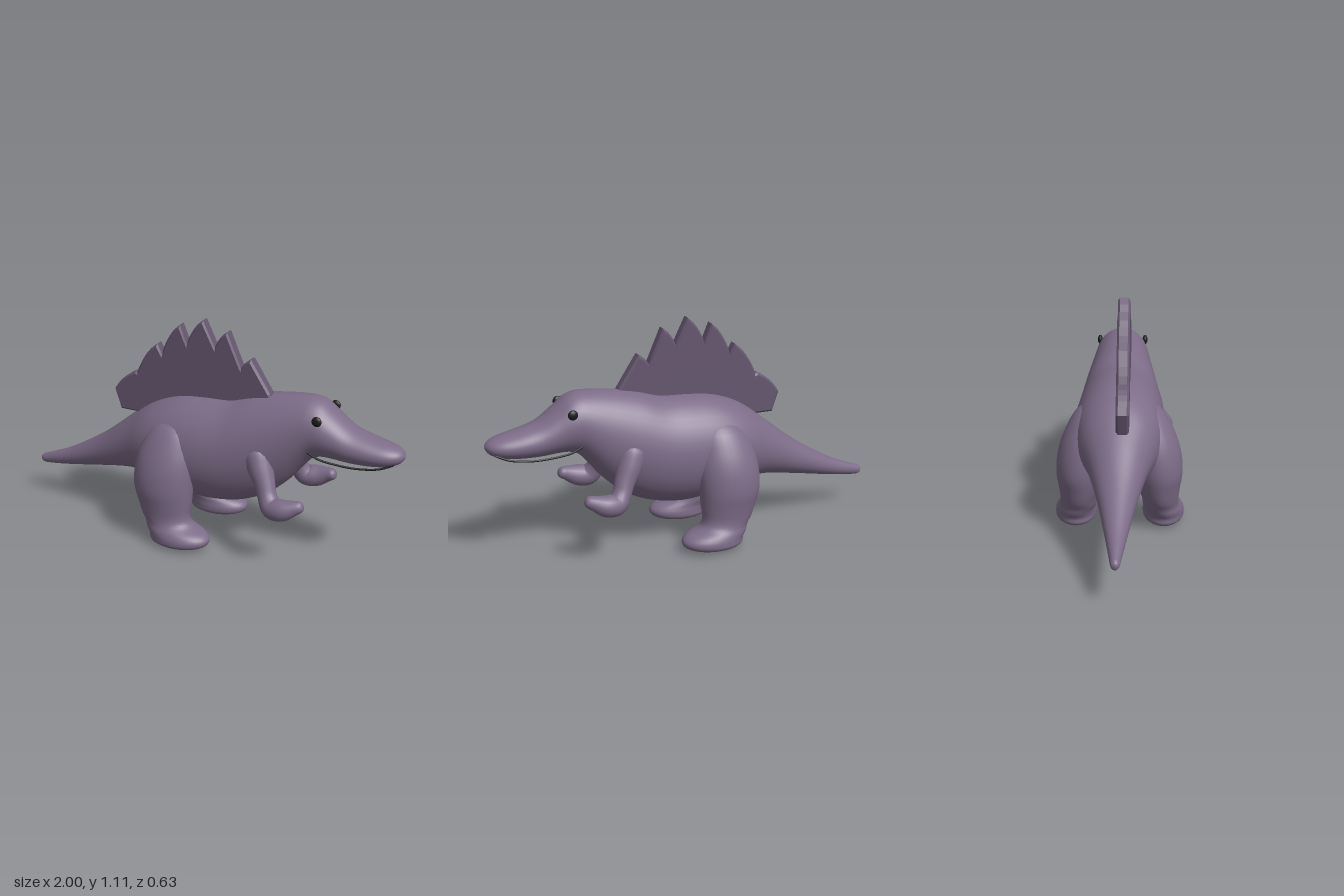
import * as THREE from 'three';

const skin = new THREE.MeshStandardMaterial({ color: 0x7d6c88 });
const sailSkin = new THREE.MeshStandardMaterial({ color: 0x65566f });
const black = new THREE.MeshStandardMaterial({ color: 0x1c1c1c });

// Resample rows of numbers with a smooth curve through every column
function smoothRows(rows, steps) {
  const out = [];
  const at = (i) => rows[Math.min(Math.max(i, 0), rows.length - 1)];
  for (let i = 0; i < rows.length - 1; i++) {
    for (let s = 0; s < steps; s++) {
      const t = s / steps;
      out.push(at(i).map((p1, k) => {
        const p0 = at(i - 1)[k], p2 = at(i + 1)[k], p3 = at(i + 2)[k];
        return p1 + 0.5 * t * (p2 - p0 + t * (2 * p0 - 5 * p1 + 4 * p2 - p3 + t * (3 * (p1 - p2) + p3 - p0)));
      }));
    }
  }
  out.push(rows[rows.length - 1]);
  return out;
}

// Skin a chain of rings { c: centre, u, v: half axes }, with u x v along the chain
function loft(rings, sides = 28) {
  const pos = [], index = [];
  rings.forEach(({ c, u, v }, i) => {
    for (let j = 0; j < sides; j++) {
      const a = (j / sides) * Math.PI * 2;
      const p = c.clone().addScaledVector(u, Math.cos(a)).addScaledVector(v, Math.sin(a));
      pos.push(p.x, p.y, p.z);
      if (i === rings.length - 1) continue;
      const k = (j + 1) % sides, n = i * sides;
      index.push(n + j, n + k, n + sides + j, n + k, n + sides + k, n + sides + j);
    }
  });
  const g = new THREE.BufferGeometry();
  g.setAttribute('position', new THREE.Float32BufferAttribute(pos, 3));
  g.setIndex(index);
  g.computeVertexNormals();
  return g;
}

const V = (x, y, z) => new THREE.Vector3(x, y, z);

// x, bottom, top, half width: tail tip to snout
const BODY = [
  [-1, 0.2, 0.2, 0], [-0.99, 0.178, 0.22, 0.018], [-0.94, 0.178, 0.24, 0.027],
  [-0.8, 0.2, 0.3, 0.05], [-0.6, 0.24, 0.42, 0.09], [-0.42, 0.272, 0.56, 0.14],
  [-0.3, 0.27, 0.652, 0.185], [-0.2, 0.245, 0.702, 0.21], [-0.1, 0.22, 0.73, 0.22],
  [0.02, 0.205, 0.742, 0.22], [0.14, 0.215, 0.75, 0.21], [0.25, 0.245, 0.782, 0.195],
  [0.35, 0.3, 0.802, 0.178], [0.44, 0.38, 0.815, 0.16], [0.51, 0.465, 0.821, 0.145],
  [0.56, 0.518, 0.82, 0.135], [0.61, 0.536, 0.803, 0.127], [0.67, 0.537, 0.755, 0.116],
  [0.75, 0.533, 0.7, 0.106], [0.85, 0.537, 0.67, 0.096], [0.93, 0.55, 0.652, 0.078],
  [0.98, 0.573, 0.632, 0.045], [1, 0.605, 0.605, 0],
];

// y, centre x, half length, centre z, half width: sole to hip
const LEG = [
  [0.005, -0.07, 0, 0.215, 0], [0.008, -0.07, 0.08, 0.215, 0.05],
  [0.03, -0.055, 0.145, 0.215, 0.095], [0.06, -0.047, 0.158, 0.215, 0.102],
  [0.09, -0.068, 0.155, 0.212, 0.096], [0.12, -0.11, 0.125, 0.202, 0.09],
  [0.16, -0.132, 0.127, 0.198, 0.09], [0.22, -0.14, 0.14, 0.192, 0.103],
  [0.3, -0.147, 0.153, 0.19, 0.115], [0.4, -0.143, 0.155, 0.177, 0.118],
  [0.5, -0.135, 0.14, 0.155, 0.106], [0.6, -0.12, 0.1, 0.12, 0.08], [0.66, -0.12, 0, 0.1, 0],
];

// x, y, z, radius: shoulder to hand
const ARM = [
  [0.31, 0.57, 0.1, 0], [0.325, 0.54, 0.12, 0.065], [0.35, 0.48, 0.148, 0.063],
  [0.385, 0.41, 0.172, 0.05], [0.408, 0.355, 0.19, 0.046], [0.44, 0.315, 0.207, 0.053],
  [0.495, 0.318, 0.217, 0.052], [0.55, 0.338, 0.21, 0.036], [0.585, 0.35, 0.2, 0.024],
  [0.594, 0.353, 0.198, 0],
];

const bodyGeometry = () => loft(smoothRows(BODY, 4).map(([x, lo, hi, w]) => ({
  c: V(x, (lo + hi) / 2, 0), u: V(0, Math.max(0, hi - lo) / 2, 0), v: V(0, 0, Math.max(0, w)),
})), 40);

const legGeometry = (side) => loft(smoothRows(LEG, 4).map(([y, cx, rx, cz, rz]) => ({
  c: V(cx, y, cz * side), u: V(0, 0, Math.max(0, rz)), v: V(Math.max(0, rx), 0, 0),
})));

function armGeometry(side) {
  const rows = smoothRows(ARM, 4);
  const points = rows.map(([x, y, z]) => V(x, y, z * side));
  return loft(rows.map(([, , , r], i) => {
    const t = points[Math.min(i + 1, rows.length - 1)].clone().sub(points[Math.max(i - 1, 0)]).normalize();
    const u = V(0, 0, 1).cross(t).normalize();
    const v = t.clone().cross(u);
    const radius = Math.max(0, r);
    return { c: points[i], u: u.multiplyScalar(radius), v: v.multiplyScalar(radius) };
  }), 20);
}

// Sail outline: each tooth bulges on its tail side and falls straight on its head side
function sailGeometry() {
  const inset = 0.01;
  const s = new THREE.Shape();
  s.moveTo(-0.46, 0.6);
  s.lineTo(-0.49, 0.69);
  const teeth = [ // tip x, tip y, following notch x, y
    [-0.38, 0.79, -0.365, 0.785], [-0.258, 0.948, -0.228, 0.895], [-0.134, 1.06, -0.092, 0.965],
    [-0.01, 1.1, 0.057, 0.97], [0.116, 1.06, 0.193, 0.89], [0.24, 0.945, 0.335, 0.8],
  ];
  let [px, py] = [-0.49, 0.69];
  for (const [x, y, nx, ny] of teeth) {
    s.quadraticCurveTo(px + (x - px) * 0.38, py + (y - py) * 0.68, x, y);
    s.lineTo(nx, ny);
    [px, py] = [nx, ny];
  }
  s.lineTo(0.35, 0.76);
  s.lineTo(0.3, 0.7);
  s.lineTo(-0.2, 0.6);
  const g = new THREE.ExtrudeGeometry(s, {
    depth: 0.06 - 2 * inset, bevelEnabled: true, bevelSize: inset, bevelThickness: inset, bevelSegments: 1, curveSegments: 5,
  });
  return g.translate(0, 0, -0.01 + inset);
}

export function createModel() {
  const model = new THREE.Group();
  model.name = 'sailBackedReptile';
  const add = (name, geometry, material) => {
    const mesh = new THREE.Mesh(geometry, material);
    mesh.name = name;
    model.add(mesh);
    return mesh;
  };

  add('body', bodyGeometry(), skin);
  add('sail', sailGeometry(), sailSkin);

  // Paired parts on both flanks
  for (const side of [1, -1]) {
    const flank = side > 0 ? 'Front' : 'Back';
    add('hindLeg' + flank, legGeometry(side), skin);
    add('arm' + flank, armGeometry(side), skin);

    const eye = add('eye' + flank, new THREE.SphereGeometry(0.024, 16, 12), black);
    eye.scale.z = 0.55;
    eye.position.set(0.61, 0.745, 0.119 * side);

    const lip = new THREE.CatmullRomCurve3([
      V(0.565, 0.582, 0.108 * side), V(0.62, 0.56, 0.111 * side), V(0.7, 0.546, 0.102 * side),
      V(0.8, 0.541, 0.09 * side), V(0.9, 0.552, 0.071 * side), V(0.96, 0.575, 0.05 * side),
    ]);
    add('mouthLine' + flank, new THREE.TubeGeometry(lip, 32, 0.005, 8), black);
  }
  return model;
}
